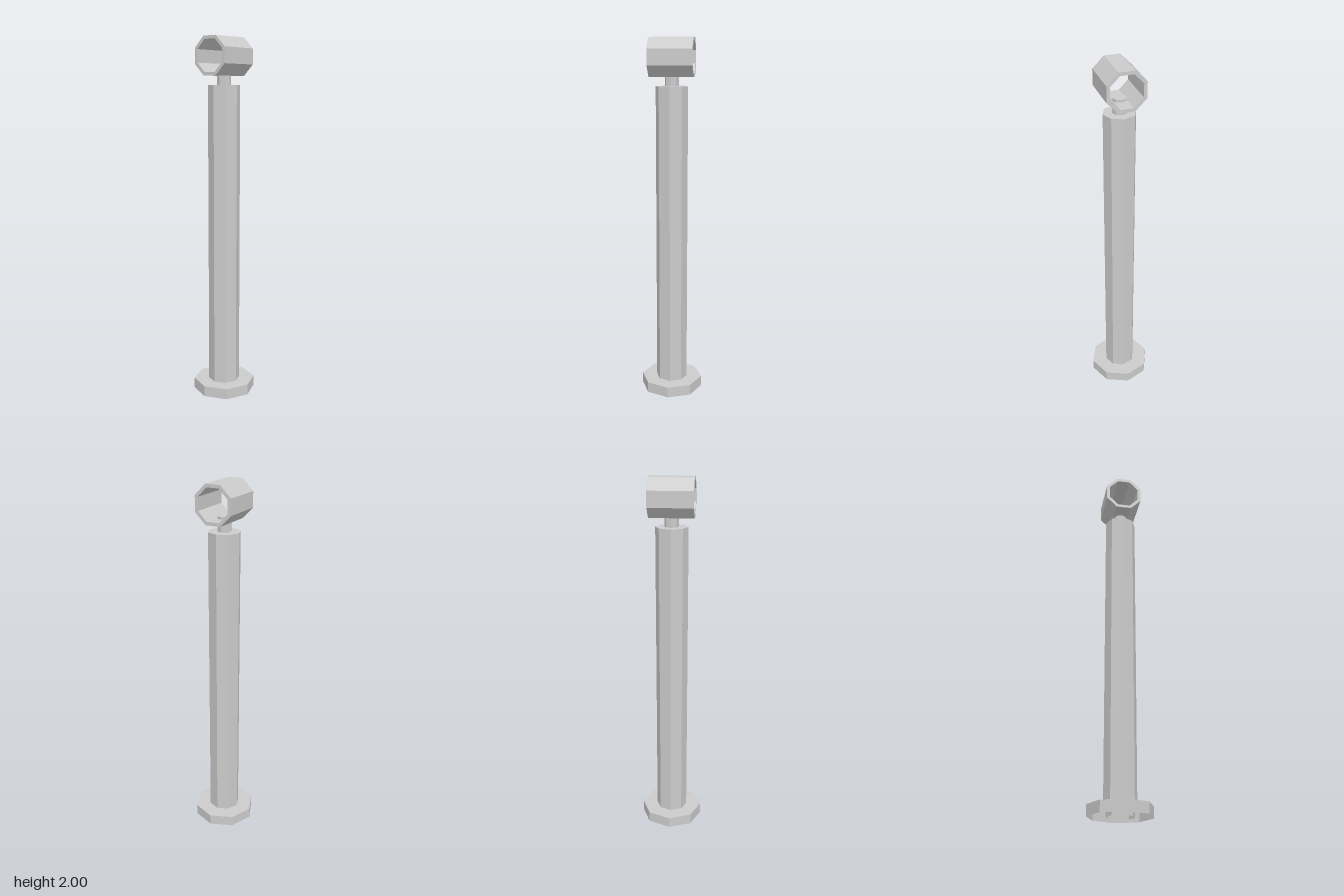
import * as THREE from 'three';

const SIDES = 8;

export function createModel() {
  const model = new THREE.Group();
  const solid = new THREE.MeshStandardMaterial({ color: 0xcccccc, flatShading: true });
  const thin = new THREE.MeshStandardMaterial({ color: 0xcccccc, flatShading: true, side: THREE.DoubleSide });

  const add = (name, geometry, material = solid) => {
    const mesh = new THREE.Mesh(geometry, material);
    mesh.name = name;
    model.add(mesh);
    return mesh;
  };
  // Upright octagonal prism between two heights
  const prism = (radius, y0, y1) =>
    new THREE.CylinderGeometry(radius, radius, y1 - y0, SIDES).translate(0, (y0 + y1) / 2, 0);
  // Octagon outline with its flats facing along the axes
  const octagon = (Outline, apothem) => {
    const r = apothem / Math.cos(Math.PI / SIDES);
    return new Outline(Array.from({ length: SIDES }, (_, i) => {
      const a = ((i + 0.5) / SIDES) * Math.PI * 2;
      return new THREE.Vector2(r * Math.cos(a), r * Math.sin(a));
    }));
  };

  // Foot: thin flange, open below, with a short socket inside
  const footProfile = [[0.174, 0], [0.174, 0.06], [0.076, 0.06], [0.076, 0]]
    .map(([r, y]) => new THREE.Vector2(r, y));
  add('foot', new THREE.LatheGeometry(footProfile, SIDES), thin);

  // Post and the narrow neck above it
  add('post', prism(0.088, 0.06, 1.745));
  add('neck', prism(0.038, 1.745, 1.825));

  // Horizontal ring that holds the rail, open at both ends
  const length = 0.24;
  const section = octagon(THREE.Shape, 0.1025);
  section.holes.push(octagon(THREE.Path, 0.085));
  const ring = new THREE.ExtrudeGeometry(section, { depth: length, bevelEnabled: false });
  ring.translate(0, 0, -length / 2).rotateY(Math.PI / 2);
  add('railRing', ring).position.y = 1.8975;

  return model;
}
